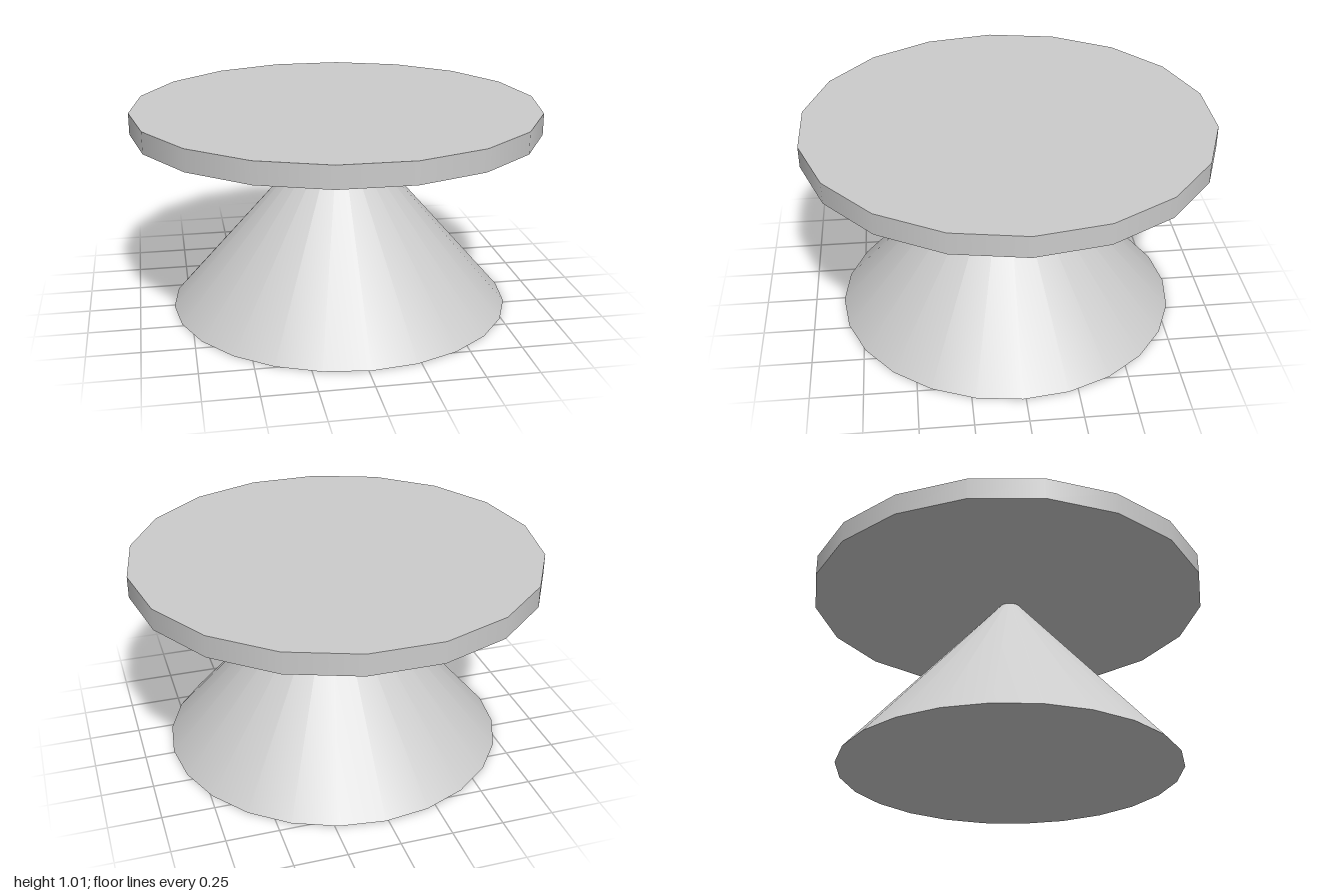
import * as THREE from 'three';

export function createModel() {
  const group = new THREE.Group();
  const material = new THREE.MeshStandardMaterial({ color: 0xcccccc });

  // Flat 18-sided disc, with corners on the x axis
  const top = new THREE.Mesh(
    new THREE.CylinderGeometry(1, 1, 0.105, 18, 1, false, Math.PI / 2), material);
  top.name = 'tableTop';
  top.position.y = 0.956;
  group.add(top);

  // Conical pedestal, slightly off centre, its tip buried in the disc
  const coneHeight = 0.966;
  const base = new THREE.Mesh(new THREE.ConeGeometry(0.843, coneHeight, 24), material);
  base.name = 'conePedestal';
  base.position.set(0.013, coneHeight / 2, 0.013);
  group.add(base);

  return group;
}
